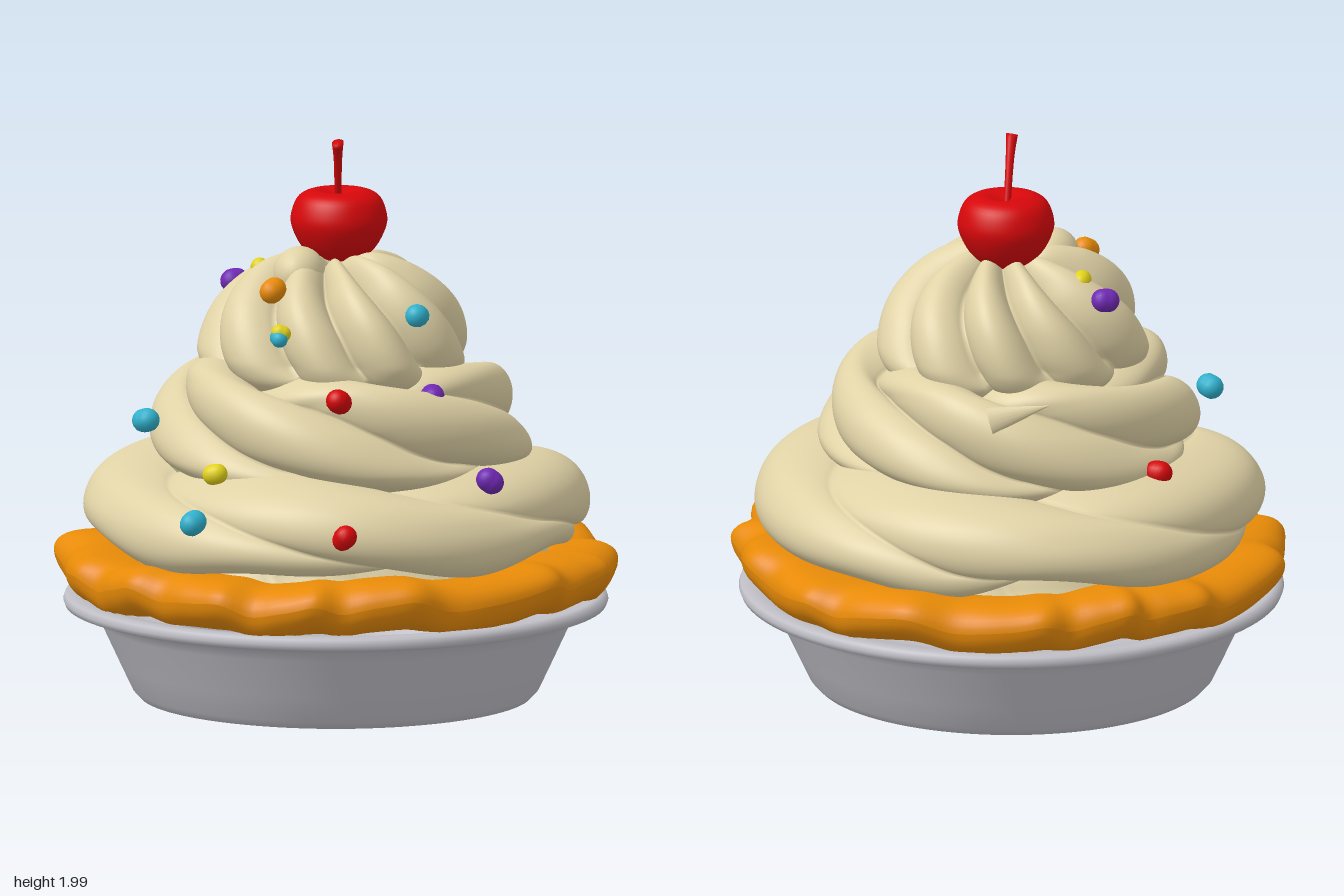
import * as THREE from 'three';

const TAU = Math.PI * 2;
const mat = (name, color, side = THREE.FrontSide) =>
  Object.assign(new THREE.MeshStandardMaterial({ color, side }), { name });

// Ring surface closed around y; fn(v, angle) gives [x, y, z], v runs along the profile
function ringSurface(rows, cols, fn) {
  const pos = [], idx = [];
  for (let i = 0; i <= rows; i++) {
    for (let j = 0; j < cols; j++) pos.push(...fn(i / rows, (j / cols) * TAU));
  }
  for (let i = 0; i < rows; i++) {
    for (let j = 0; j < cols; j++) {
      const a = i * cols + j, b = i * cols + ((j + 1) % cols);
      idx.push(a, a + cols, b, b, a + cols, b + cols);
    }
  }
  const g = new THREE.BufferGeometry();
  g.setAttribute('position', new THREE.Float32BufferAttribute(pos, 3));
  g.setIndex(idx);
  g.computeVertexNormals();
  return g;
}

const spline = (pts) => new THREE.SplineCurve(pts.map(([r, y]) => new THREE.Vector2(r, y)));

// Piped cream: a turned profile pushed along its normal by lobes; the mesh columns twist with them
function creamTier({ profile, lobes, twist, amp, phase = 0, wave = 0, x = 0, z = 0 }) {
  const curve = spline(profile);
  return ringSurface(72, 180, (v, t) => {
    const p = curve.getPoint(v), d = curve.getTangent(v);
    const turn = t + twist * v + phase;
    const a = turn + 0.1 * Math.sin(2 * turn + 1);
    const lobe = Math.abs(Math.sin((lobes * t) / 2));          // rounded lobe, sharp groove
    const fade = Math.min(1, p.x / 0.25) * Math.min(1, v * 5) * Math.min(1, (1 - v) * 6);
    const push = amp * fade * (Math.pow(lobe, 0.75) - 0.7 + 0.12 * Math.sin(3 * t + 5 * v));
    const r = Math.max(0, p.x + d.y * push);
    const drop = wave * Math.max(0, 1 - v * 1.8) * (Math.sin(5 * a + 0.6) + 0.5 * Math.sin(8 * a));
    return [x + r * Math.cos(a), p.y - d.x * push + drop, z + r * Math.sin(a)];
  });
}

export function createModel() {
  const pie = new THREE.Group();
  pie.name = 'creamPie';

  const cream = mat('cream', 0xe0d2a6);
  const crustMat = mat('crust', 0xea8c08);
  const tin = mat('tin', 0xc0bfc6, THREE.DoubleSide);
  const red = mat('cherryRed', 0xd6070a);
  const purple = mat('purple', 0x7029b4);
  const blue = mat('blue', 0x2fb0cc);
  const yellow = mat('yellow', 0xe2d21a);

  const add = (name, geometry, material, parent = pie) => {
    const m = new THREE.Mesh(geometry, material);
    m.name = name;
    parent.add(m);
    return m;
  };

  // Pie tin with flared wall and rolled lip
  const tinProfile = [
    [0, 0.012], [0.62, 0.012], [0.66, 0.002], [0.69, 0.008], [0.715, 0.035], [0.76, 0.13], [0.825, 0.27],
    [0.845, 0.305], [0.87, 0.322], [0.93, 0.325], [0.95, 0.332], [0.957, 0.35], [0.95, 0.37],
    [0.93, 0.377], [0.87, 0.372], [0.82, 0.34], [0.7, 0.33],
  ].map(([r, y]) => new THREE.Vector2(r, y));
  add('pieTin', new THREE.LatheGeometry(tinProfile, 96), tin);

  // Crimped crust with uneven folds, resting on the tin
  const crustGeometry = ringSurface(32, 260, (v, t) => {
    const s = -v * TAU;
    const a = t + 0.07 * Math.sin(3 * t + 1) + 0.04 * Math.sin(5 * t);
    const fold = Math.sin(15 * a + 0.6 * Math.sin(15 * a));
    const outer = Math.max(0, Math.cos(s));
    const c = Math.sign(Math.cos(s)) * Math.abs(Math.cos(s)) ** 0.75;
    const r = 0.822 + 0.145 * c + outer * (0.02 * fold + 0.016 * Math.cos(4 * t));
    const up = -Math.sin(s);
    const y = 0.475 + (up > 0 ? 0.078 : 0.105) * up
      + 0.02 * fold * (0.3 + 0.7 * outer) + 0.01 * Math.sin(7 * t);
    return [r * Math.cos(t), Math.max(0.376, y), r * Math.sin(t)];
  });
  add('crust', crustGeometry, crustMat);

  // Filling between crust and the piped layers
  add('filling', creamTier({
    profile: [[0.78, 0.44], [0.74, 0.54], [0.66, 0.64], [0.4, 0.72], [0, 0.74]],
    lobes: 12, twist: 0.5, amp: 0.03,
  }), cream);

  // Three piped layers, from wide to narrow
  add('lowerSwirl', creamTier({
    profile: [[0.6, 0.64], [0.72, 0.61], [0.82, 0.575], [0.88, 0.625], [0.88, 0.71], [0.82, 0.8],
      [0.7, 0.855], [0.5, 0.88], [0, 0.88]],
    lobes: 4, twist: 2.6, amp: 0.06, phase: 0.4, wave: 0.035,
  }), cream);
  add('middleSwirl', creamTier({
    profile: [[0.58, 0.82], [0.64, 0.87], [0.65, 0.95], [0.62, 1.06], [0.56, 1.15], [0.48, 1.19], [0.3, 1.2], [0, 1.2]],
    lobes: 5, twist: 2.9, amp: 0.085, phase: 1.1, x: 0.01, z: 0.01,
  }), cream);
  add('upperSwirl', creamTier({
    profile: [[0.38, 1.13], [0.445, 1.19], [0.45, 1.28], [0.41, 1.39], [0.33, 1.48], [0.22, 1.545],
      [0.13, 1.575], [0.06, 1.56], [0, 1.55]],
    lobes: 9, twist: 1.15, amp: 0.1, phase: 0.2, x: 0.01, z: 0.01,
  }), cream);

  // Soft peak beside the cherry and a small curl at the back
  const peak = add('creamPeak', new THREE.SphereGeometry(0.1, 24, 16), cream);
  peak.position.set(-0.09, 1.53, 0.15);
  peak.scale.set(0.9, 0.95, 1.1);
  const curl = add('creamCurl', new THREE.ConeGeometry(0.05, 0.22, 16), cream);
  curl.position.set(-0.28, 1.165, -0.54);
  curl.rotation.set(0.3, 0.3, 1.2);
  curl.scale.z = 0.5;

  // Cherry with dimpled top and bent stem
  const cherry = new THREE.Group();
  cherry.name = 'cherry';
  cherry.position.set(-0.005, 0, -0.057);
  pie.add(cherry);
  const cherryProfile = spline([[0, 1.53], [0.07, 1.545], [0.13, 1.595], [0.167, 1.67], [0.165, 1.725],
    [0.14, 1.775], [0.09, 1.796], [0.04, 1.785], [0, 1.77]]).getPoints(32);
  cherryProfile.forEach((p) => { p.x = Math.max(0, p.x); });
  add('cherryFruit', new THREE.LatheGeometry(cherryProfile, 48), red, cherry);
  const stemPath = new THREE.CatmullRomCurve3([[0, 1.76, 0.01], [0.008, 1.84, 0.04], [0.018, 1.92, 0.075], [0.028, 1.985, 0.112]]
    .map((p) => new THREE.Vector3(...p)));
  add('cherryStem', ringSurface(16, 12, (v, t) => {
    const p = stemPath.getPoint(Math.min(1, v * 16 / 15));
    const r = v === 1 ? 0 : 0.013 + 0.01 * v ** 3;
    return [p.x + r * Math.cos(t), p.y - 0.4 * r * Math.sin(t), p.z + r * Math.sin(t)];
  }), red, cherry);

  // Candy sprinkles
  const candy = new THREE.CapsuleGeometry(0.039, 0.016, 6, 14);
  [
    [red, -0.645, 0.89, -0.17], [red, 0.18, 1.16, 0.585], [red, 0.27, 0.72, 0.83],
    [purple, -0.385, 1.455, -0.05], [purple, 0.445, 1.145, 0.315], [purple, 0.67, 0.865, 0.37],
    [blue, 0.36, 1.41, 0.215], [blue, -0.57, 1.03, 0.43], [blue, -0.27, 0.755, 0.87],
    [blue, -0.07, 1.355, 0.48, 0.75], [yellow, -0.065, 1.372, 0.468, 0.75],
    [yellow, -0.285, 1.51, -0.03, 0.85], [yellow, -0.255, 0.89, 0.645, 0.95],
    [crustMat, -0.13, 1.5, 0.345],
  ].forEach(([material, x, y, z, size = 1.08], i) => {
    const s = add('sprinkle' + (i + 1), candy, material);
    s.position.set(x, y, z);
    s.rotation.set(0.4 * Math.sin(i * 3), i * 1.3, 1.2 + 0.4 * Math.cos(i * 2));
    s.scale.setScalar(size);
  });

  return pie;
}
